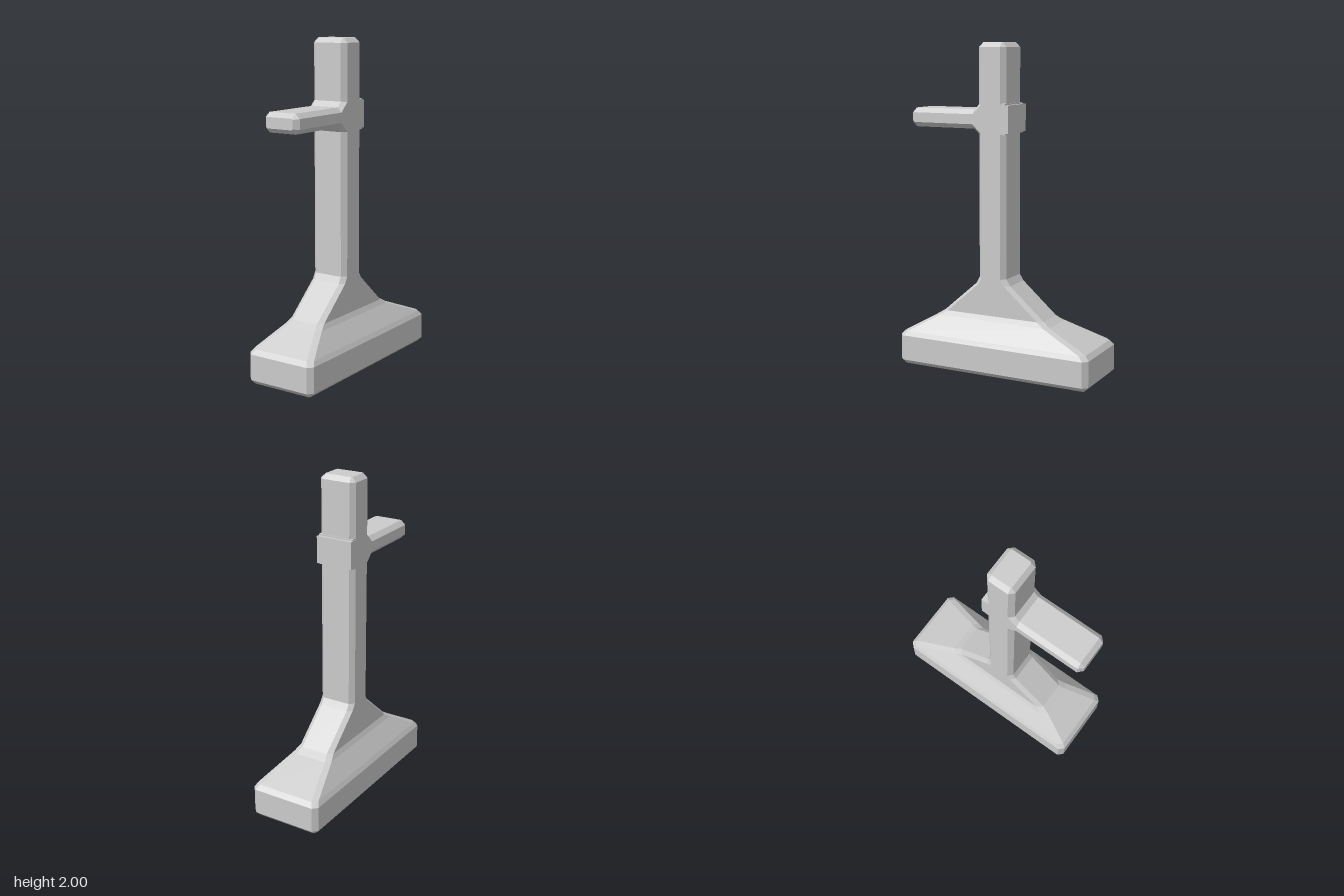
import * as THREE from 'three';

const material = new THREE.MeshStandardMaterial({ color: 0xcccccc, flatShading: true });

// Rectangle with cut corners, counter-clockwise in its plane
function bevelRect(a0, a1, b0, b1, c) {
  return [
    [a1, b0 + c], [a1, b1 - c], [a1 - c, b1], [a0 + c, b1],
    [a0, b1 - c], [a0, b0 + c], [a0 + c, b0], [a1 - c, b0],
  ];
}

// Skins capped sections [t, a0, a1, b0, b1, c]; place(a, b, t) gives x, y, z
function loft(name, sections, place) {
  const rings = sections.map(([t, ...r]) => bevelRect(...r).map(([a, b]) => place(a, b, t)));
  const pos = [];
  const tri = (...pts) => pts.forEach((p) => pos.push(...p));
  for (let i = 0; i + 1 < rings.length; i++) {
    for (let j = 0; j < 8; j++) {
      const k = (j + 1) % 8, lo = rings[i], hi = rings[i + 1];
      tri(lo[j], lo[k], hi[k]);
      tri(lo[j], hi[k], hi[j]);
    }
  }
  const first = rings[0], last = rings[rings.length - 1];
  for (let j = 1; j < 7; j++) {
    tri(first[0], first[j + 1], first[j]);
    tri(last[0], last[j], last[j + 1]);
  }
  const geo = new THREE.BufferGeometry();
  geo.setAttribute('position', new THREE.Float32BufferAttribute(pos, 3));
  geo.computeVertexNormals();
  const mesh = new THREE.Mesh(geo, material);
  mesh.name = name;
  return mesh;
}

function box(name, w, y0, y1, z0, z1) {
  const mesh = new THREE.Mesh(new THREE.BoxGeometry(w, y1 - y0, z1 - z0), material);
  mesh.position.set(0, (y0 + y1) / 2, (z0 + z1) / 2);
  mesh.name = name;
  return mesh;
}

export function createModel() {
  const group = new THREE.Group();
  group.name = 'stand';

  // Foot, sloped shoulders and post: height, back z, front z, half width, bevel
  const body = [
    [0, -0.61, 0.61, 0.2, 0.008],
    [0.028, -0.638, 0.638, 0.23, 0.03],
    [0.185, -0.638, 0.638, 0.23, 0.03],
    [0.213, -0.613, 0.613, 0.214, 0.03],
    [0.322, -0.345, 0.425, 0.134, 0.03],
    [0.352, -0.298, 0.378, 0.118, 0.03],
    [0.545, -0.075, 0.155, 0.118, 0.028],
    [0.585, -0.049, 0.134, 0.118, 0.028],
    [1.972, -0.049, 0.134, 0.118, 0.028],
    [2, -0.023, 0.108, 0.09, 0.006],
  ].map(([y, z0, z1, x, c]) => [y, z0, z1, -x, x, c]);
  group.add(loft('footAndPost', body, (z, x, y) => [x, y, z]));

  // Front arm, flared where it meets the post: z, half width, bottom, top, bevel
  const arm = [
    [0.1, 0.118, 1.425, 1.667, 0.028],
    [0.135, 0.118, 1.458, 1.634, 0.028],
    [0.165, 0.118, 1.488, 1.604, 0.028],
    [0.572, 0.118, 1.488, 1.604, 0.028],
    [0.6, 0.09, 1.514, 1.578, 0.006],
  ].map(([z, x, y0, y1, c]) => [z, -x, x, y0, y1, c]);
  group.add(loft('arm', arm, (x, y, z) => [x, y, z]));

  // Plate on the back of the post with a thin seat behind it
  group.add(box('backPlate', 0.236, 1.468, 1.634, -0.073, -0.015));
  group.add(box('plateSeat', 0.232, 1.459, 1.643, -0.053, -0.02));
  return group;
}
